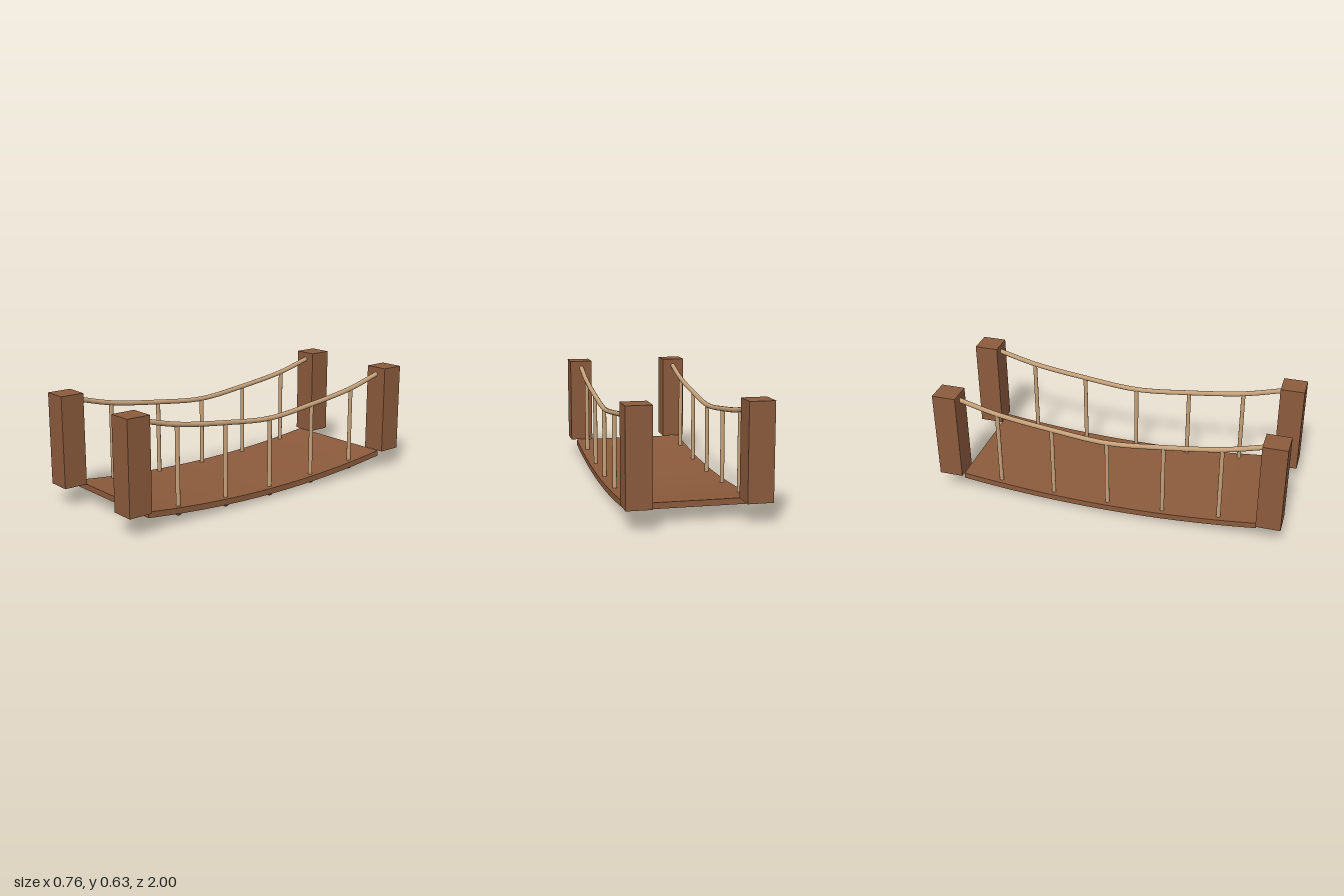
import * as THREE from 'three';

const wood = new THREE.MeshStandardMaterial({ name: 'brown wood', color: 0x8b5a3c });
const rope = new THREE.MeshStandardMaterial({ name: 'tan rope', color: 0xc4a078 });
const iron = new THREE.MeshStandardMaterial({ name: 'dark iron', color: 0x555859 });

const END = 0.863;      // half length of the deck
const RAIL_X = 0.307;   // rails, balusters and bolts
const THICK = 0.033;    // deck thickness

// Sagging height of the deck's underside
const deckBottom = (z) => 0.022 + 0.055 * (z / END) ** 2;

export function createModel() {
  const bridge = new THREE.Group();
  bridge.name = 'bridge';
  const add = (name, geometry, material, x = 0, y = 0, z = 0) => {
    const mesh = new THREE.Mesh(geometry, material);
    mesh.name = name;
    mesh.position.set(x, y, z);
    bridge.add(mesh);
  };

  // Deck: a long slab bent along the sag
  const deck = new THREE.BoxGeometry(0.69, THICK, 2 * END, 1, 1, 16);
  const p = deck.attributes.position;
  for (let i = 0; i < p.count; i++) {
    p.setY(i, p.getY(i) + THICK / 2 + deckBottom(p.getZ(i)));
  }
  deck.computeVertexNormals();
  add('deck', deck, wood);

  // Hand rail curve, shared by both sides
  const half = [[0.322, 0.482], [0.645, 0.528], [END + 0.005, 0.585]];
  const points = [
    ...half.map(([z, y]) => new THREE.Vector3(0, y, -z)).reverse(),
    new THREE.Vector3(0, 0.453, 0),
    ...half.map(([z, y]) => new THREE.Vector3(0, y, z)),
  ];
  const railGeometry = new THREE.TubeGeometry(new THREE.CatmullRomCurve3(points), 48, 0.014, 12);
  const boltGeometry = new THREE.SphereGeometry(0.022, 16, 12);
  const postGeometry = new THREE.BoxGeometry(0.137, 0.517, 0.137);

  for (const side of [-1, 1]) {
    const x = side * RAIL_X;
    add('handRail', railGeometry, rope, x);

    // Corner posts
    for (const end of [-1, 1]) add('post', postGeometry, wood, side * 0.3095, 0.3695, end * 0.9315);

    // Balusters, each bolted under the deck
    for (const { y, z } of points.slice(1, -1)) {
      const foot = deckBottom(z) + 0.01;
      add('baluster', new THREE.CylinderGeometry(0.012, 0.012, y - foot, 12), rope, x, (y + foot) / 2, z);
      add('bolt', boltGeometry, iron, x, deckBottom(z), z);
    }
  }
  return bridge;
}
